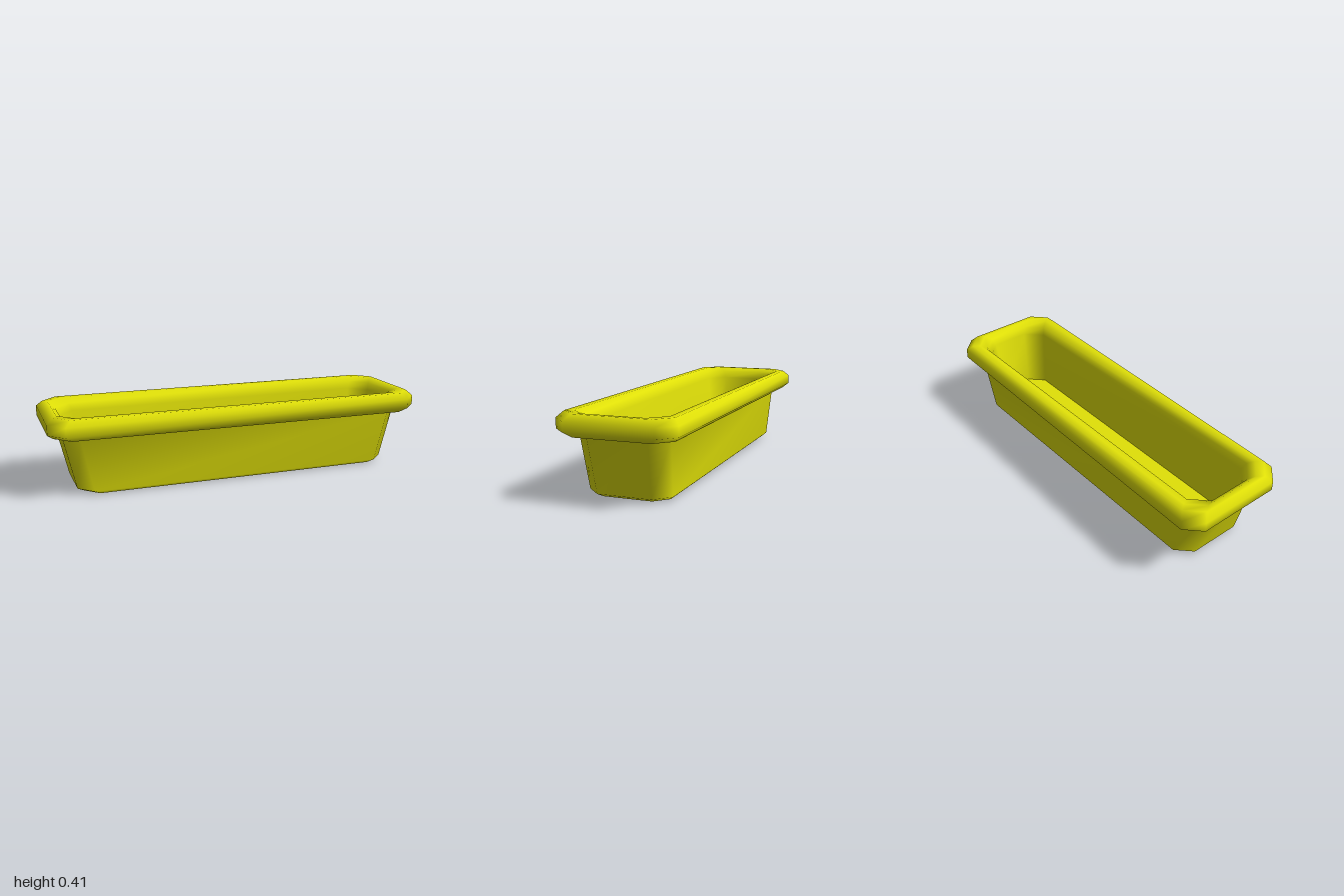
import * as THREE from 'three';

const BODY_Z = 0.005; // the body sits a touch forward of the rim
const RIM_SKEW = 0.011; // the rim's long sides run slightly off the x axis

// Eight-cornered loop: a rectangle with chamfered corners, at height y
function loop({ size: [hx, hz], y, chamfer: c, z0 = BODY_Z, skew = 0 }) {
  const quarter = [[hx, hz - c], [hx - c, hz]];
  const pts = [
    ...quarter,
    ...quarter.map(([x, z]) => [-x, z]).reverse(),
    ...quarter.map(([x, z]) => [-x, -z]),
    ...quarter.map(([x, z]) => [x, -z]).reverse(),
  ];
  return pts.map(([x, z]) => [x, y, z + z0 + skew * x]);
}

const bodyLoop = (hx, hz, y, chamfer) => ({ size: [hx, hz], y, chamfer });
const rimLoop = (hx, hz, y) => ({ size: [hx, hz], y, chamfer: 0.078, z0: 0, skew: RIM_SKEW });

// Skin a series of loops with smooth normals
function skin(name, sections, material) {
  const positions = sections.flatMap((s) => loop(s).flat());
  const index = [];
  for (let i = 0; i < sections.length - 1; i++) {
    for (let k = 0; k < 8; k++) {
      const a = i * 8 + k, b = i * 8 + (k + 1) % 8;
      index.push(a, a + 8, b, b, a + 8, b + 8);
    }
  }
  const geometry = new THREE.BufferGeometry();
  geometry.setAttribute('position', new THREE.Float32BufferAttribute(positions, 3));
  geometry.setIndex(index);
  geometry.computeVertexNormals();
  const mesh = new THREE.Mesh(geometry, material);
  mesh.name = name;
  return mesh;
}

export function createModel() {
  const yellow = new THREE.MeshStandardMaterial({ color: 0xe0e008 });
  yellow.name = 'yellow plastic';

  const group = new THREE.Group();
  group.name = 'planterBox';

  const base = bodyLoop(0.82, 0.185, 0, 0.065);
  const floor = bodyLoop(0.855, 0.153, 0.05, 0.075);

  group.add(
    // flat underside
    skin('underside', [bodyLoop(0, 0, 0, 0), base], yellow),
    // one smooth shell: bevelled foot, outer walls, rounded rim, inner walls
    skin('wallsAndRim', [
      base,
      bodyLoop(0.86, 0.21, 0.02, 0.075),
      bodyLoop(0.925, 0.227, 0.3, 0.078),
      rimLoop(0.968, 0.268, 0.3),
      rimLoop(1, 0.298, 0.326),
      rimLoop(1, 0.298, 0.376),
      rimLoop(0.97, 0.27, 0.406),
      rimLoop(0.945, 0.235, 0.406),
      bodyLoop(0.917, 0.2, 0.384, 0.082),
      bodyLoop(0.905, 0.187, 0.345, 0.085),
      floor,
    ], yellow),
    // flat floor of the hollow
    skin('innerFloor', [floor, bodyLoop(0, 0, 0.05, 0)], yellow),
  );
  return group;
}
